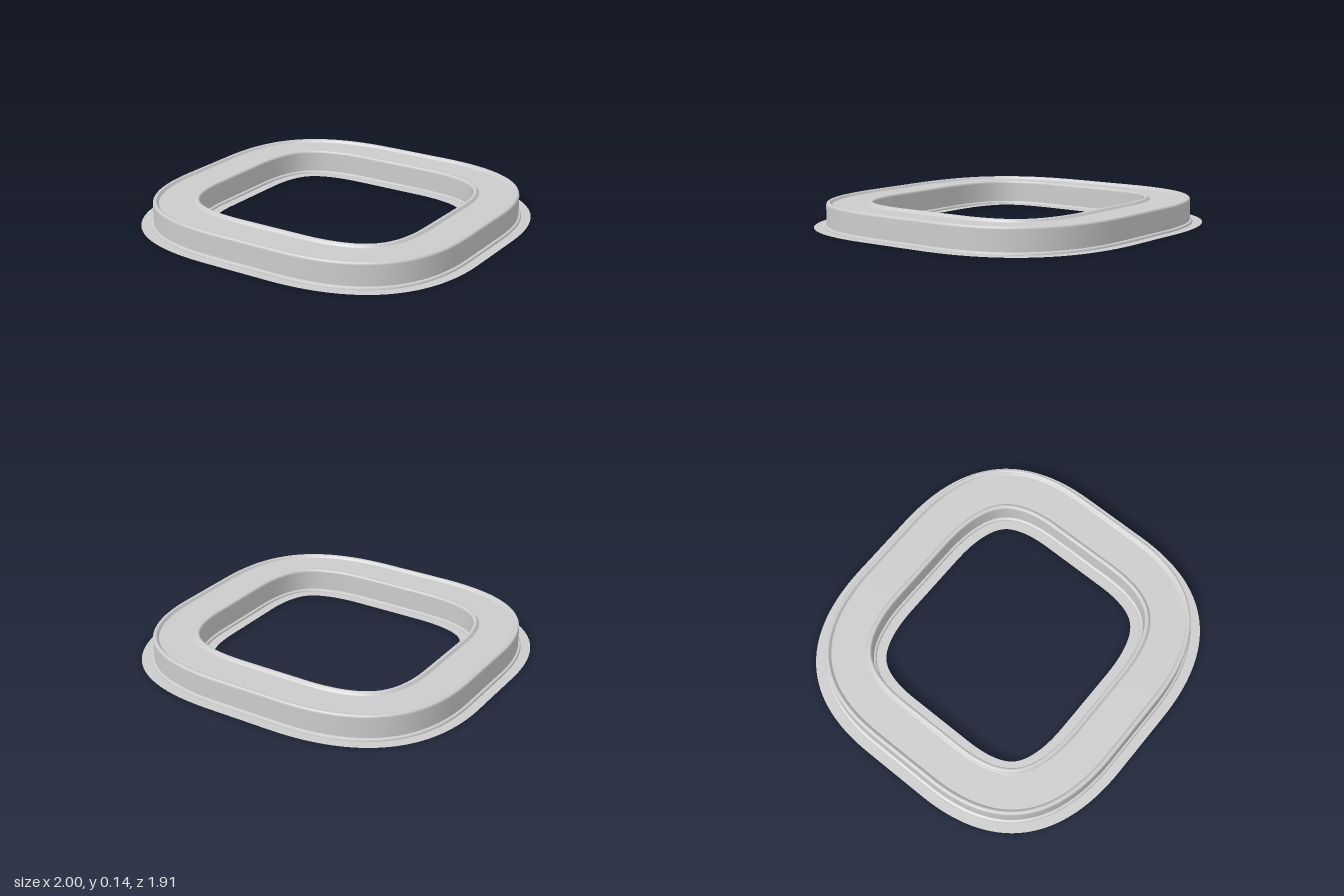
import * as THREE from 'three';

const HX = 1, HZ = 0.955, FLAT = 0.2, K = 0.66, STEPS = 40, WIDTH = 0.4;

// Closed outer outline: four soft corners joined by short straight runs.
// Each point carries its inward normal so that it can be inset.
function makeOutline() {
  const corner = new THREE.CubicBezierCurve(
    new THREE.Vector2(HX, FLAT),
    new THREE.Vector2(HX, FLAT + (HZ - FLAT) * K),
    new THREE.Vector2(FLAT + (HX - FLAT) * K, HZ),
    new THREE.Vector2(FLAT, HZ)
  );
  const outline = [];
  for (const [sx, sz] of [[1, 1], [-1, 1], [-1, -1], [1, -1]]) {
    for (let i = 0; i <= STEPS; i++) {
      const t = sx * sz > 0 ? i / STEPS : 1 - i / STEPS;
      const p = corner.getPoint(t), d = corner.getTangent(t);
      outline.push({ x: p.x * sx, z: p.y * sz, nx: -d.y * sx, nz: d.x * sz });
    }
  }
  return outline;
}

// Sweeps a profile of [inset, height] pairs around the outline
function sweep(name, outline, profile, material) {
  const positions = [], index = [], n = profile.length, m = outline.length;
  for (const o of outline) {
    for (const [inset, y] of profile) positions.push(o.x + o.nx * inset, y, o.z + o.nz * inset);
  }
  for (let i = 0; i < m; i++) {
    const a = i * n, b = ((i + 1) % m) * n;
    for (let j = 0; j < n - 1; j++) {
      index.push(a + j, a + j + 1, b + j, b + j, a + j + 1, b + j + 1);
    }
  }
  const geometry = new THREE.BufferGeometry();
  geometry.setAttribute('position', new THREE.Float32BufferAttribute(positions, 3));
  geometry.setIndex(index);
  geometry.computeVertexNormals();
  const mesh = new THREE.Mesh(geometry, material);
  mesh.name = name;
  return mesh;
}

export function createModel() {
  const group = new THREE.Group();
  group.name = 'channelRing';
  const material = new THREE.MeshStandardMaterial({ color: 0xcccccc, side: THREE.DoubleSide });
  const outline = makeOutline();

  // Profiles run from the outer edge inwards; the inner side mirrors the outer
  const flange = [[0, 0], [0.055, 0]];
  const foot = [[0.055, 0], [0.056, 0.008], [0.06, 0.012], [0.07, 0.014]];
  const wall = [
    [0.07, 0.014], [0.07, 0.126], [0.071, 0.132], [0.074, 0.137], [0.079, 0.14],
    [0.086, 0.14], [0.092, 0.138], [0.096, 0.133], [0.099, 0.127], [0.104, 0.124]
  ];
  const mirror = (profile) => profile.map(([s, y]) => [WIDTH - s, y]).reverse();

  for (const [name, profile] of [['Flange', flange], ['Foot', foot], ['WallAndBead', wall]]) {
    group.add(sweep('outer' + name, outline, profile, material));
    group.add(sweep('inner' + name, outline, mirror(profile), material));
  }

  // Recessed flat top between the two beads
  group.add(sweep('topPanel', outline, [[0.104, 0.124], [WIDTH - 0.104, 0.124]], material));
  return group;
}
